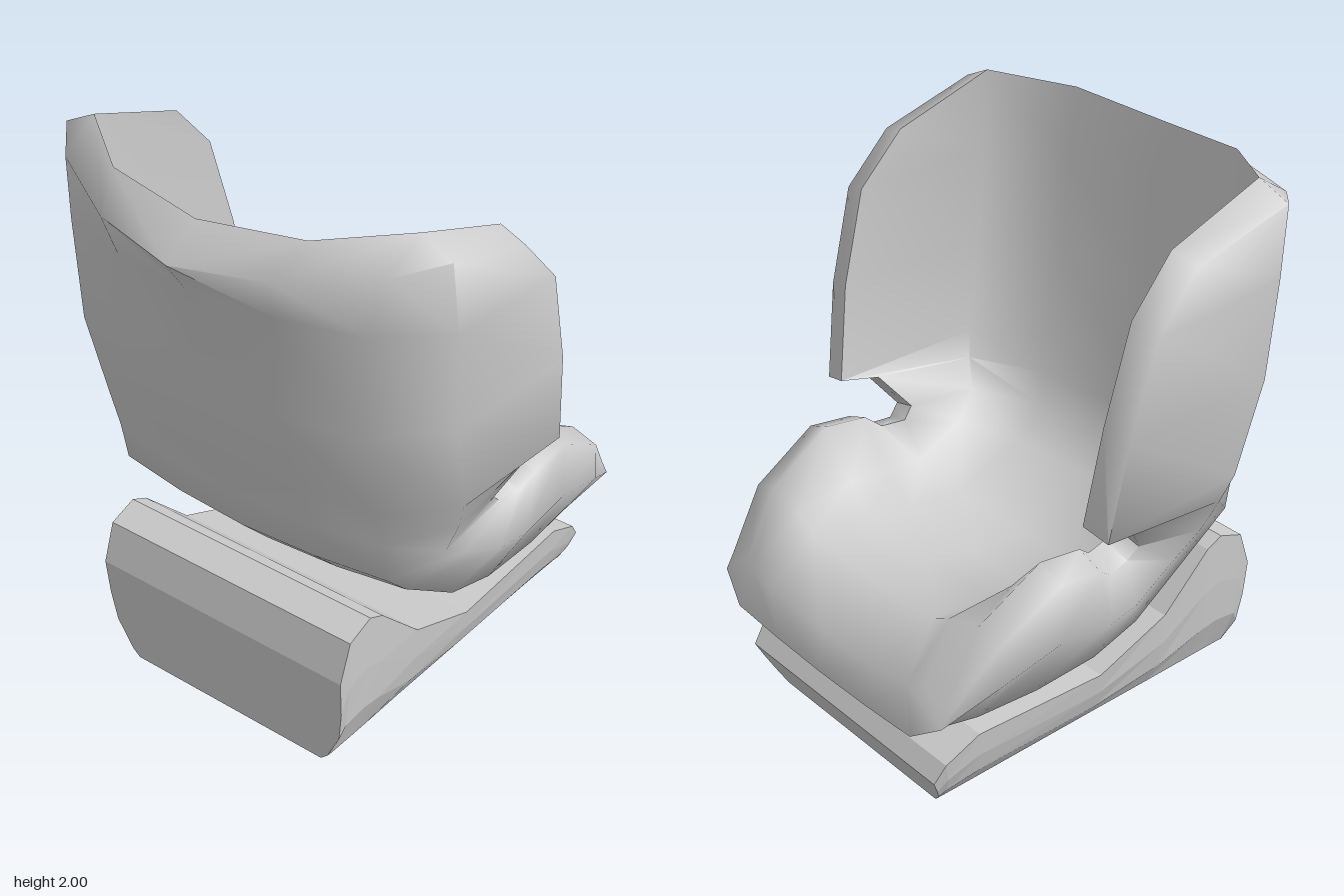
import * as THREE from 'three';
import { toCreasedNormals } from 'three/addons/utils/BufferGeometryUtils.js';

// Joins equal closed rings of points into a solid, closing both ends with the cap triangles.
function loft(rings, cap) {
  const n = rings[0].length, index = [];
  for (let s = 0; s < rings.length - 1; s++) {
    for (let j = 0; j < n; j++) {
      const a = s * n + j, b = s * n + (j + 1) % n;
      index.push(a, a + n, b + n, a, b + n, b);
    }
  }
  const last = (rings.length - 1) * n;
  for (const [a, b, c] of cap) index.push(a, b, c, last + a, last + c, last + b);
  const geo = new THREE.BufferGeometry();
  geo.setAttribute('position', new THREE.Float32BufferAttribute(rings.flat(2), 3));
  geo.setIndex(index);
  return geo;
}

const lerp = THREE.MathUtils.lerp;

// One U-shaped section of the shell: outer spine, back corner, side, wing tip, then back along the inside.
function shellRing([ox, oy, tx, ty, ix, iy, w, g, h, c, d, lift]) {
  const outer = (t, z, up = 0) => [lerp(ox, tx, t), lerp(oy, ty - 0.03, t) + up, z];
  const inner = (t, z, up = 0) => [lerp(ix, tx, t), lerp(iy, ty, t) + up, z];
  const half = [
    outer(0, 0), outer(h * 0.3, c * 0.52, lift * 0.3), outer(h, c, lift * 0.8),
    outer(g, w, lift * 1.2), outer(0.98, w - 0.01),
    inner(1, w - 0.11), inner(g * 0.8, w - d, lift), inner(g * 0.18, w * 0.5, lift * 0.4), inner(0, 0),
  ];
  const mirrored = half.slice(1, -1).reverse().map(([x, y, z]) => [x, y, -z]);
  return [...half, ...mirrored];
}

function makeShell() {
  // outer spine x y, tip x y, inner spine x y, half width, side and corner fractions, corner z, wall, lift
  const stations = [
    [-0.845, 1.83, -0.08, 1.87, -0.71, 1.93, 0.77, 0.48, 0.30, 0.64, 0.12, 0.09],
    [-0.77, 1.72, 0.09, 1.69, -0.67, 1.72, 0.78, 0.37, 0.14, 0.6, 0.14, 0],
    [-0.74, 1.36, 0.185, 1.35, -0.64, 1.36, 0.77, 0.34, 0.1, 0.58, 0.13, 0],
    [-0.64, 1.03, 0.24, 1.0, -0.56, 1.02, 0.745, 0.34, 0.09, 0.58, 0.13, 0],
    [-0.59, 0.87, 0.10, 0.98, -0.52, 0.89, 0.71, 0.4, 0.09, 0.57, 0.12, 0],
    [-0.55, 0.72, 0.0, 0.85, -0.48, 0.78, 0.65, 0.47, 0.09, 0.57, 0.1, 0],
    [-0.42, 0.59, 0.04, 0.81, -0.37, 0.66, 0.64, 0.52, 0.1, 0.55, 0.13, 0],
    [-0.12, 0.40, 0.13, 0.81, -0.08, 0.53, 0.66, 0.53, 0.07, 0.55, 0.18, 0],
    [0.10, 0.37, 0.19, 0.86, 0.17, 0.55, 0.68, 0.5, 0.02, 0.56, 0.22, 0],
    [0.36, 0.37, 0.36, 0.885, 0.36, 0.6, 0.68, 0.53, 0, 0.56, 0.25, 0],
    [0.61, 0.37, 0.61, 0.74, 0.61, 0.64, 0.665, 0.5, 0, 0.555, 0.25, 0.02],
    [0.84, 0.365, 0.775, 0.55, 0.825, 0.53, 0.6, 0.6, 0.08, 0.48, 0.17, 0],
  ];
  const side = [[0, 1, 7], [0, 7, 8], [1, 2, 6], [1, 6, 7], [2, 3, 6], [3, 4, 5], [3, 5, 6]];
  const other = side.map(([a, b, c]) => [a, c, b].map(k => (16 - k) % 16));
  return toCreasedNormals(loft(stations.map(shellRing), [...side, ...other]), 1.35);
}

function makeBase() {
  // bottom x, top x, top y
  const stations = [
    [-0.66, -0.69, 0.4], [-0.65, -0.64, 0.54], [-0.56, -0.535, 0.58], [-0.48, -0.47, 0.55],
    [-0.27, -0.27, 0.36], [0.03, 0.03, 0.245], [0.56, 0.58, 0.28], [0.67, 0.72, 0.22], [0.69, 0.765, 0.16],
  ];
  // the flanks flare quickly near the floor, then rise almost straight
  const halfWidth = y => 0.53 - 0.11 * Math.exp(-y / 0.09);
  const rings = stations.map(([xb, xt, yt]) => {
    const half = [0, 0.07, 0.35, 0.65, 1].map(t => [lerp(xb, xt, t), yt * t, halfWidth(yt * t)]);
    return [...half, ...half.map(([x, y, z]) => [x, y, -z]).reverse()];
  });
  const cap = Array.from({ length: 8 }, (_, k) => [0, k + 1, k + 2]);
  return loft(rings, cap).toNonIndexed();
}

export function createModel() {
  const group = new THREE.Group();
  group.name = 'childSeat';

  // Padded shell: backrest, side wings and cushion in one sweep
  const shell = new THREE.Mesh(makeShell(), new THREE.MeshStandardMaterial({ color: 0xcccccc }));
  shell.name = 'seatShell';

  // Faceted foot under the shell
  const baseGeo = makeBase();
  baseGeo.computeVertexNormals();
  const base = new THREE.Mesh(baseGeo, new THREE.MeshStandardMaterial({ color: 0xcccccc, flatShading: true }));
  base.name = 'base';

  group.add(shell, base);
  return group;
}
